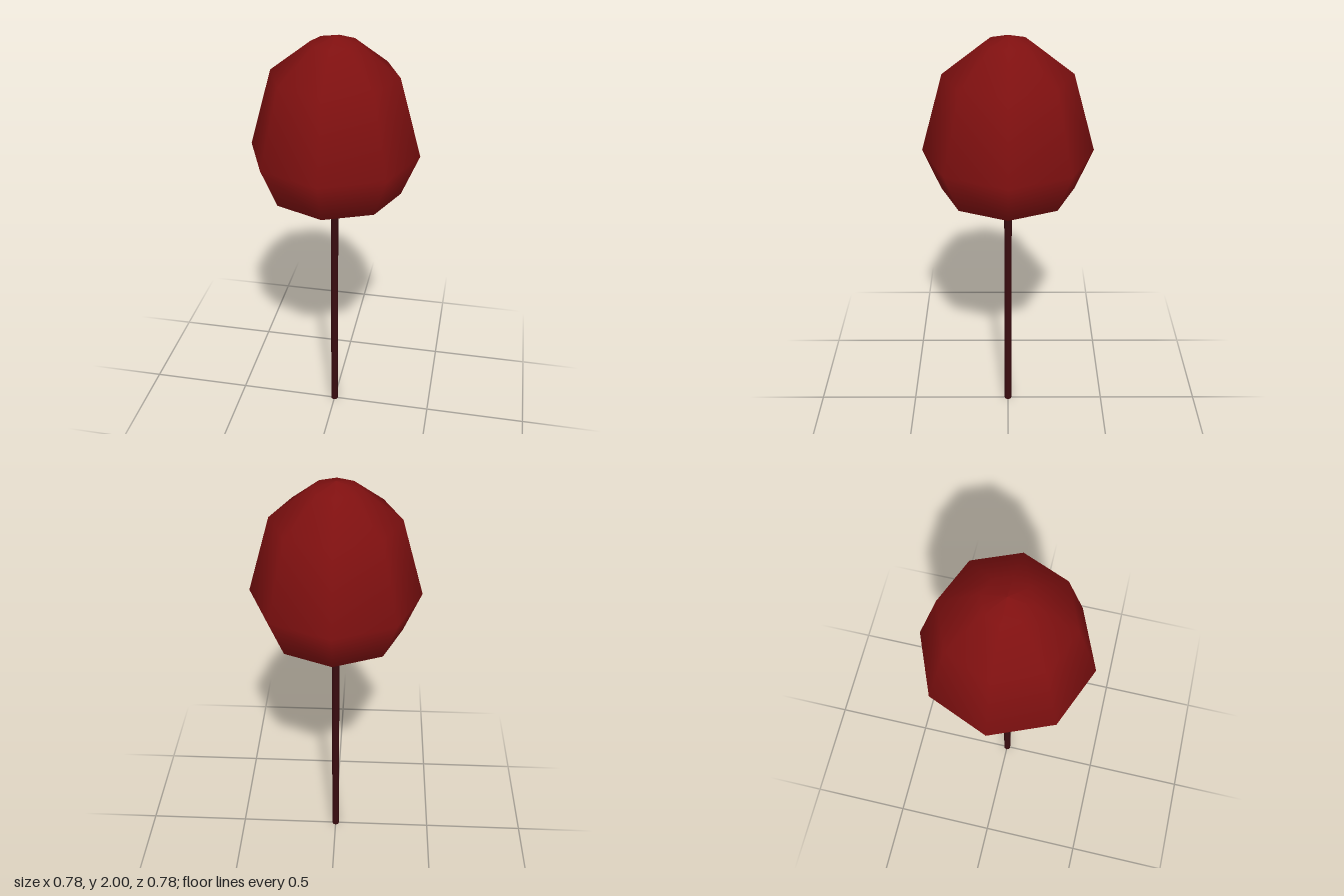
import * as THREE from 'three';

export function createModel() {
  const group = new THREE.Group();

  // Eight-sided smooth crown, profile from the underside up to the tip
  const profile = [
    [0, 1.2], [0.17, 1.2], [0.31, 1.275], [0.39, 1.47],
    [0.288, 1.83], [0.105, 1.97], [0, 2],
  ].map(([r, y]) => new THREE.Vector2(r, y));
  const crown = new THREE.Mesh(
    new THREE.LatheGeometry(profile, 8),
    new THREE.MeshStandardMaterial({ color: 0x7f1010 })
  );
  crown.name = 'crown';
  group.add(crown);

  // Thin trunk, ending at the underside of the crown
  const height = 1.2;
  const trunk = new THREE.Mesh(
    new THREE.CylinderGeometry(0.018, 0.018, height, 8),
    new THREE.MeshStandardMaterial({ color: 0x3a0c10 })
  );
  trunk.position.y = height / 2;
  trunk.name = 'trunk';
  group.add(trunk);

  return group;
}
